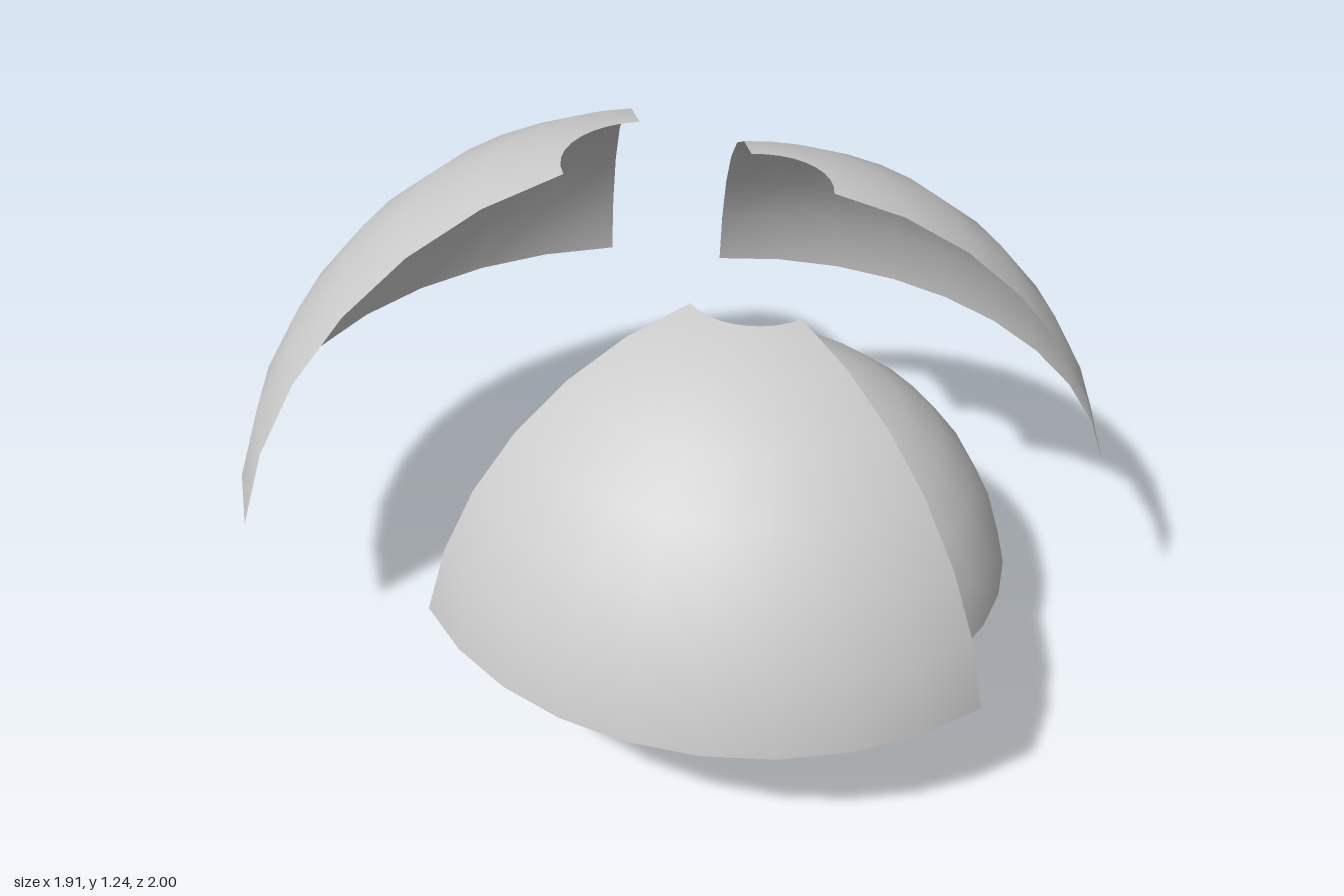
import * as THREE from 'three';

const STEP = Math.PI / 16; // every surface follows a 32 x 16 sphere grid

const shellMaterial = new THREE.MeshStandardMaterial({ color: 0xcccccc, side: THREE.DoubleSide });
const ballMaterial = new THREE.MeshStandardMaterial({ color: 0xcccccc, flatShading: true });

// Thin spherical patch whose lower rim has the given radius and height.
// rows / columns are counted in grid steps; firstRow leaves a hole at the crown.
function cap(name, { x, z, rimY, rimRadius, firstRow, columns, startDeg = 0 }) {
  const lastRow = 7;
  const radius = rimRadius / Math.sin(lastRow * STEP);
  const geometry = new THREE.SphereGeometry(
    radius, columns, lastRow - firstRow,
    THREE.MathUtils.degToRad(startDeg), columns * STEP,
    firstRow * STEP, (lastRow - firstRow) * STEP,
  );
  const mesh = new THREE.Mesh(geometry, shellMaterial);
  mesh.name = name;
  mesh.position.set(x, rimY - radius * Math.cos(lastRow * STEP), z);
  return mesh;
}

export function createModel() {
  const group = new THREE.Group();
  group.name = 'layeredDome';
  const x = 0.155, z = 0.2;

  // Faceted core ball
  const ball = new THREE.Mesh(new THREE.SphereGeometry(0.3, 32, 16), ballMaterial);
  ball.name = 'coreBall';
  ball.position.set(x, 0.303, z);
  group.add(ball);

  // Closed inner dome over the ball
  group.add(cap('innerDome', { x, z, rimY: 0.285, rimRadius: 0.61, firstRow: 0, columns: 32 }));

  // Three outer shell segments at staggered heights, each with a notch at the crown
  const shell = { x, z, rimRadius: 0.8, firstRow: 1, columns: 9 };
  group.add(cap('frontShell', { ...shell, rimY: 0.355, startDeg: -1.5 }));
  group.add(cap('leftShell', { ...shell, rimY: 0.6, startDeg: 146.4 }));
  group.add(cap('backShell', { ...shell, x: 0.005, z: -0.03, rimY: 0.453, rimRadius: 0.972, startDeg: -109.6 }));

  return group;
}
